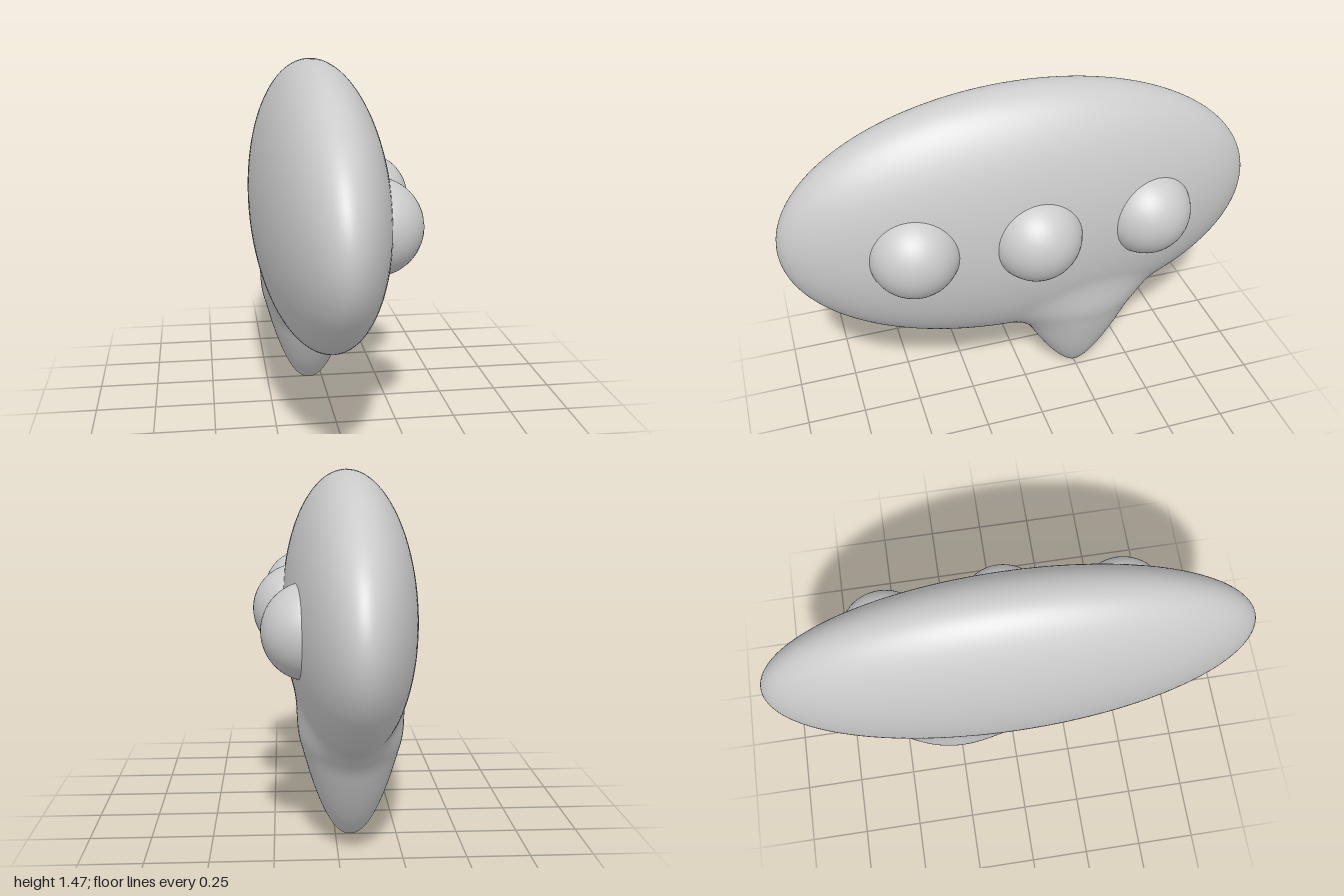
import * as THREE from 'three';
import { mergeVertices } from 'three/addons/utils/BufferGeometryUtils.js';

const CENTER_X = -0.06;
const BODY = { y: 0.9, rx: 0.27, ry: 0.57, rz: 1.0 };
const TAIL_Z = -0.245;

// Approximate distance to the flattened oval of the bubble
function bodyDistance(x, y, z) {
  const { rx, ry, rz } = BODY;
  const h = y - BODY.y;
  const q = Math.hypot(x / rx, h / ry, z / rz);
  const g = Math.hypot(x / rx ** 2, h / ry ** 2, z / rz ** 2);
  return q * (q - 1) / Math.max(g, 1e-9);
}

// Approximate distance to the tail, whose oval section widens upwards
function tailDistance(x, y, z) {
  if (y <= 0 || y > 0.88) return 1;
  const fade = 1 - THREE.MathUtils.smoothstep(y, 0.4, 0.9);
  const wx = 0.316 * Math.sqrt(y) * fade;
  const wz = 0.52 * Math.pow(y, 0.67) * fade;
  const dz = z - TAIL_Z;
  const q = Math.hypot(x / wx, dz / wz);
  if (q < 1e-6) return -Math.min(wx, wz);
  return q * (q - 1) / Math.hypot(x / wx ** 2, dz / wz ** 2);
}

// Union of both with a soft fillet
function bubbleDistance(x, y, z) {
  const k = 0.085;
  const a = bodyDistance(x, y, z);
  const b = tailDistance(x, y, z);
  const h = Math.max(k - Math.abs(a - b), 0) / k;
  return Math.min(a, b) - h * h * k / 4;
}

// Push the vertices of a sphere outwards until they meet the bubble surface
function bubbleGeometry() {
  let geo = new THREE.SphereGeometry(1, 160, 120);
  geo.deleteAttribute('uv');
  geo.deleteAttribute('normal');
  geo = mergeVertices(geo, 1e-5);
  const pos = geo.attributes.position;
  const dir = new THREE.Vector3();
  const start = new THREE.Vector3(0, 0.6, TAIL_Z);
  const p = new THREE.Vector3();
  for (let i = 0; i < pos.count; i++) {
    dir.fromBufferAttribute(pos, i).multiply(new THREE.Vector3(0.27, 0.6, 1));
    let near = 0, far = 2.2;
    for (let s = 0; s < 32; s++) {
      const t = (near + far) / 2;
      p.copy(start).addScaledVector(dir, t);
      if (bubbleDistance(p.x, p.y, p.z) < 0) near = t; else far = t;
    }
    p.copy(start).addScaledVector(dir, near);
    pos.setXYZ(i, p.x, p.y, p.z);
  }
  geo.computeVertexNormals();
  return geo;
}

export function createModel() {
  const group = new THREE.Group();
  group.name = 'speechBubble';
  const material = new THREE.MeshStandardMaterial({ color: 0xcccccc });

  // Bubble with its tail
  const bubble = new THREE.Mesh(bubbleGeometry(), material);
  bubble.name = 'bubble';
  bubble.position.x = CENTER_X;
  group.add(bubble);

  // Three dots, sunk into the +x face
  const dotGeometry = new THREE.SphereGeometry(0.185, 48, 32);
  [['frontDot', 0.105, 0.49], ['middleDot', 0.145, 0], ['backDot', 0.105, -0.49]].forEach(([name, x, z]) => {
    const dot = new THREE.Mesh(dotGeometry, material);
    dot.name = name;
    dot.position.set(x, BODY.y, z);
    group.add(dot);
  });
  return group;
}
